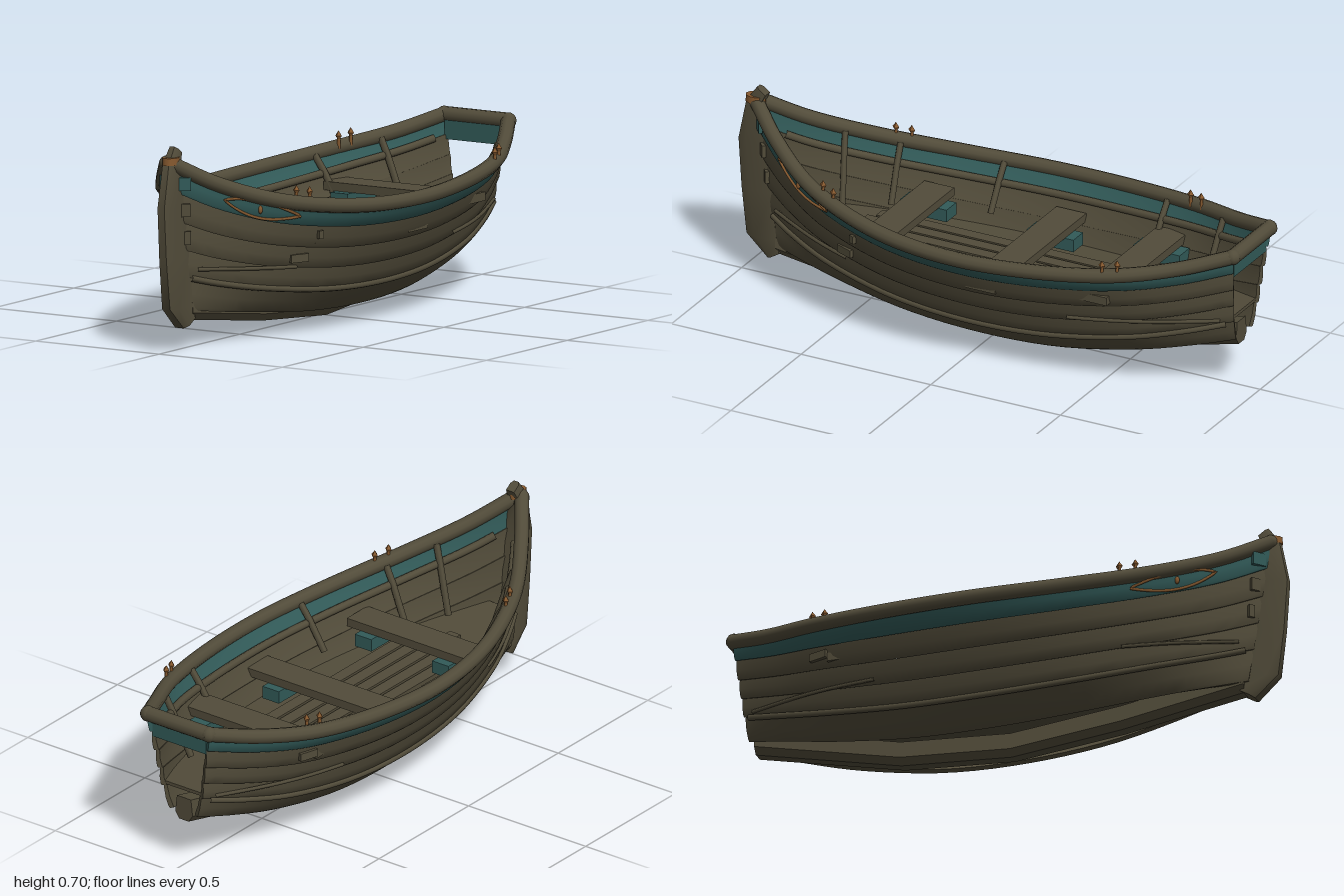
import * as THREE from 'three';
import { toCreasedNormals } from 'three/addons/utils/BufferGeometryUtils.js';

const V = (x, y, z) => new THREE.Vector3(x, y, z);
const spline = pts => new THREE.CatmullRomCurve3(pts.map(p => V(...p)));

// Hull guide lines for the left side: sheer on top, open lower edge beside the keel
const sheer = spline([[.13, .545, -.965], [.22, .5, -.8], [.312, .468, -.6], [.377, .445, -.3], [.393, .436, 0],
  [.348, .447, .3], [.238, .493, .6], [.113, .565, .8], [.008, .648, .94]]);
const lower = spline([[.05, .2, -.935], [.09, .16, -.78], [.12, .115, -.59], [.145, .07, -.3], [.15, .058, 0],
  [.135, .07, .3], [.092, .1, .58], [.052, .12, .75], [.018, .135, .865]]);
const FX = [1, .81, .65, .5, .36, 0], FY = [1, .81, .61, .42, .23, 0];

// Point on the hull: u runs stern to bow, r runs over plank rows 0 (top) to 5 (bottom)
function hull(u, r) {
  const a = sheer.getPoint(u), b = lower.getPoint(u);
  const i = Math.min(4, Math.floor(r)), f = r - i;
  const fx = FX[i] + (FX[i + 1] - FX[i]) * f, fy = FY[i] + (FY[i + 1] - FY[i]) * f;
  return V(b.x + (a.x - b.x) * fx, b.y + (a.y - b.y) * fy, b.z + (a.z - b.z) * fy);
}
function offset(u, r, d) {
  const i = Math.min(4, Math.floor(r));
  const du = hull(Math.min(1, u + .01), r).sub(hull(Math.max(0, u - .01), r));
  const n = hull(u, i).sub(hull(u, i + .99)).cross(du).normalize();
  if (n.x < 0) n.negate();
  return hull(u, r).addScaledVector(n, d);
}
function uAt(z) {
  let a = 0, b = 1;
  for (let i = 0; i < 30; i++) { const m = (a + b) / 2; if (sheer.getPoint(m).z < z) a = m; else b = m; }
  return a;
}
function rowAt(u, y) {
  let a = 0, b = 5;
  for (let i = 0; i < 30; i++) { const m = (a + b) / 2; if (hull(u, m).y > y) a = m; else b = m; }
  return a;
}

// Skin closed rings of points, capping both ends; the winding is set from the signed volume
function loft(rings, crease = .6) {
  const n = rings[0].length, pos = [], idx = [];
  rings.forEach(r => r.forEach(p => pos.push(p.x, p.y, p.z)));
  for (let i = 0; i < rings.length - 1; i++) for (let j = 0; j < n; j++) {
    const a = i * n + j, b = i * n + (j + 1) % n;
    idx.push(a, b, a + n, b, b + n, a + n);
  }
  const e = (rings.length - 1) * n;
  for (let j = 1; j < n - 1; j++) idx.push(0, j + 1, j, e, e + j, e + j + 1);
  let vol = 0;
  const at = k => V(pos[3 * k], pos[3 * k + 1], pos[3 * k + 2]);
  for (let k = 0; k < idx.length; k += 3) vol += at(idx[k]).dot(at(idx[k + 1]).cross(at(idx[k + 2])));
  if (vol < 0) idx.reverse();
  const g = new THREE.BufferGeometry();
  g.setAttribute('position', new THREE.Float32BufferAttribute(pos, 3));
  g.setIndex(idx);
  return toCreasedNormals(g, crease);
}

export function createModel() {
  const root = new THREE.Group();
  const mat = (name, color) => Object.assign(new THREE.MeshStandardMaterial({ color }), { name });
  const wood = mat('weathered wood', 0x524c3a), teal = mat('teal paint', 0x325b59), copper = mat('copper', 0x86592f);
  const add = (name, geo, m, x = 0, y = 0, z = 0) => {
    const mesh = new THREE.Mesh(geo, m);
    mesh.name = name;
    mesh.position.set(x, y, z);
    root.add(mesh);
    return mesh;
  };
  const box = (name, m, w, h, d, x, y, z) => add(name, new THREE.BoxGeometry(w, h, d), m, x, y, z);
  const tube = (name, m, pts, r, closed = false, sides = 8) => {
    const c = new THREE.CatmullRomCurve3(pts, closed);
    return add(name, new THREE.TubeGeometry(c, Math.max(6, pts.length * 2), r, sides, closed), m);
  };
  const flip = (p, s) => V(p.x * s, p.y, p.z);
  const N = 36, us = Array.from({ length: N + 1 }, (_, i) => i / N);

  for (const s of [1, -1]) {
    const side = s > 0 ? 'left' : 'right';

    // Overlapping planks, the top one painted
    for (let k = 0; k < 5; k++) {
      const prof = [[0, .002], [.5, .01], [.9, .011], [1, .008], [1, -.006], [.5, -.005], [0, -.01]];
      const rings = us.map(u => prof.map(([t, d]) => flip(offset(u, k + t * .999, d), s)));
      add(side + 'Plank' + (k + 1), loft(rings, .7), k ? wood : teal);
    }

    // Gunwale, bilge rub and inner riser
    const run = (r, d, a = 0, b = 1) => us.map(u => flip(offset(a + (b - a) * u, r, d), s));
    tube(side + 'Gunwale', wood, run(0, 0), .026, false, 10);
    add(side + 'GunwaleTip', new THREE.SphereGeometry(.026, 10, 8), wood).position.copy(flip(hull(1, 0), s));
    tube(side + 'BilgeRub', wood, run(4, .011, .02, .97), .011);
    tube(side + 'InnerRiser', wood, run(.99, -.014, .04, .94), .014);

    // Short straight battens near both ends
    for (const [za, ya, zb, yb] of [[.88, .275, .48, .252], [-.92, .285, -.4, .255]])
      tube(side + 'Batten', wood, [0, .25, .5, .75, 1].map(t => {
        const u = uAt(za + (zb - za) * t);
        return flip(offset(u, rowAt(u, ya + (yb - ya) * t), .013), s);
      }), .007, false, 5);

    // Rib posts inside the hull
    for (const z of [-.74, -.47, .18, .53, .7]) {
      const u = uAt(z), end = rowAt(u, .27);
      tube(side + 'Rib', wood, [0, .33, .66, 1].map(t =>
        flip(offset(u, .15 + (end - .15) * t, -.016 - .02 * t), s)), .012, false, 6);
    }

    // Pairs of oar pins on the gunwale, the right stern pair set further in
    for (const z of [.545, .495, -.57, -.62]) {
      const p = sheer.getPoint(uAt(z)), x = (p.x + (z > 0 ? -.004 : s > 0 ? .012 : -.022)) * s;
      add(side + 'OarPin', new THREE.CylinderGeometry(.006, .006, .05, 6), copper, x, p.y + .025, z);
      const head = add(side + 'OarPinHead', new THREE.OctahedronGeometry(.013), copper, x, p.y + .044, z);
      head.scale.y = 1.4;
    }

    // Almond eye near the bow
    const uc = uAt(.67), hl = uAt(.785) - uc;
    const eye = (a, k) => flip(offset(uc + hl * k * Math.cos(a), .52 + .38 * k * Math.sin(a) * Math.abs(Math.sin(a)), .013), s);
    tube(side + 'EyeOutline', copper, Array.from({ length: 24 }, (_, i) => eye(i * Math.PI / 12, 1)), .005, true, 6);
    const pupil = add(side + 'Pupil', new THREE.SphereGeometry(.012, 8, 6), copper);
    pupil.position.copy(eye(0, 0));
    pupil.scale.set(.6, 1.2, .7);

    // Cheek blocks beside the stem
    [[.55, teal, .05], [1.5, wood, .032], [2.5, wood, .022]].forEach(([r, m, d]) => {
      const b = box(side + 'CheekBlock', m, .014, .045, d);
      b.position.copy(flip(offset(.972, r, .012), s));
      b.rotation.y = -s * .9;
    });
  }

  // Stern rail and its painted board over the open stern
  const st = sheer.getPoint(0);
  const rail = add('sternRail', new THREE.CylinderGeometry(.027, .027, .26, 10), wood, 0, st.y, st.z);
  rail.rotation.z = Math.PI / 2;
  for (const s of [1, -1]) add('sternRailEnd', new THREE.SphereGeometry(.028, 10, 8), wood, s * st.x, st.y, st.z);
  box('sternBoard', teal, .23, .075, .016, 0, .5, -.953);

  // Keel
  const keel = [[-.93, .165], [-.4, .035], [0, 0], [.4, .035], [.85, .1]];
  const keelSection = [[-.02, 0], [.02, 0], [.037, .025], [.03, .085], [-.03, .085], [-.037, .025]];
  add('keel', loft(keel.map(([z, y]) => keelSection.map(([x, h]) => V(x + .004, y + h, z))), .3), wood);

  // Stem post: height, aft z, forward z, half width, slope of the end face
  const stem = [[.09, .835, .885, .032, -.03], [.15, .845, .968, .029, 0], [.32, .865, .988, .026, 0],
    [.5, .89, 1, .025, 0], [.65, .91, .97, .023, 0], [.693, .895, .93, .017, .024]];
  add('stemPost', loft(stem.map(([y, a, b, w, k]) => [[-1, 0], [1, 0], [1, .7], [.55, 1], [-.55, 1], [-1, .7]]
    .map(([x, t]) => V(x * w + .008, y + k * (t - .5), a + (b - a) * t))), .8), wood);
  const band = add('stemBand', new THREE.CylinderGeometry(.026, .027, .025, 10), copper, .01, .657, .94);
  band.scale.z = 1.4;

  // Sole: a thin floor following the hull, raised toward both ends
  const soleY = z => .235 + .07 * z * z;
  const soleRings = Array.from({ length: 25 }, (_, i) => {
    const z = -.94 + i * .0735, u = uAt(z), y = soleY(z);
    const w = Math.max(.008, hull(u, rowAt(u, y)).x - .008);
    return [V(-w, y, z), V(w, y, z), V(w, y - .012, z), V(-w, y - .012, z)];
  });
  add('sole', loft(soleRings), wood);

  // Floor slats with stepped ends
  for (let i = -2; i <= 2; i++)
    box('floorSlat', wood, .046, .016, 1.165 - Math.abs(i) * .055, i * .056 + .003, .262, 0);

  // Thwarts on painted blocks
  for (const [z, w, y] of [[-.51, .58, .37], [-.1, .65, .335], [.37, .505, .355]]) {
    box('thwart', wood, w, .03, .115, .007, y - .015, z);
    for (const s of [1, -1]) box('thwartBlock', teal, .07, .045, .18, s * (w > .55 ? .2 : .165), y - .052, z);
  }

  // Repair blocks on the planking
  for (const [z, r, s, d] of [[.48, 2.5, 1, .07], [.42, 1.35, 1, .02], [-.6, 1.4, -1, .07]]) {
    const b = box('repairBlock', wood, .014, .028, d);
    b.position.copy(flip(offset(uAt(z), r, .014), s));
    b.rotation.y = z > 0 ? -s * .4 : s * .3;
  }
  return root;
}
